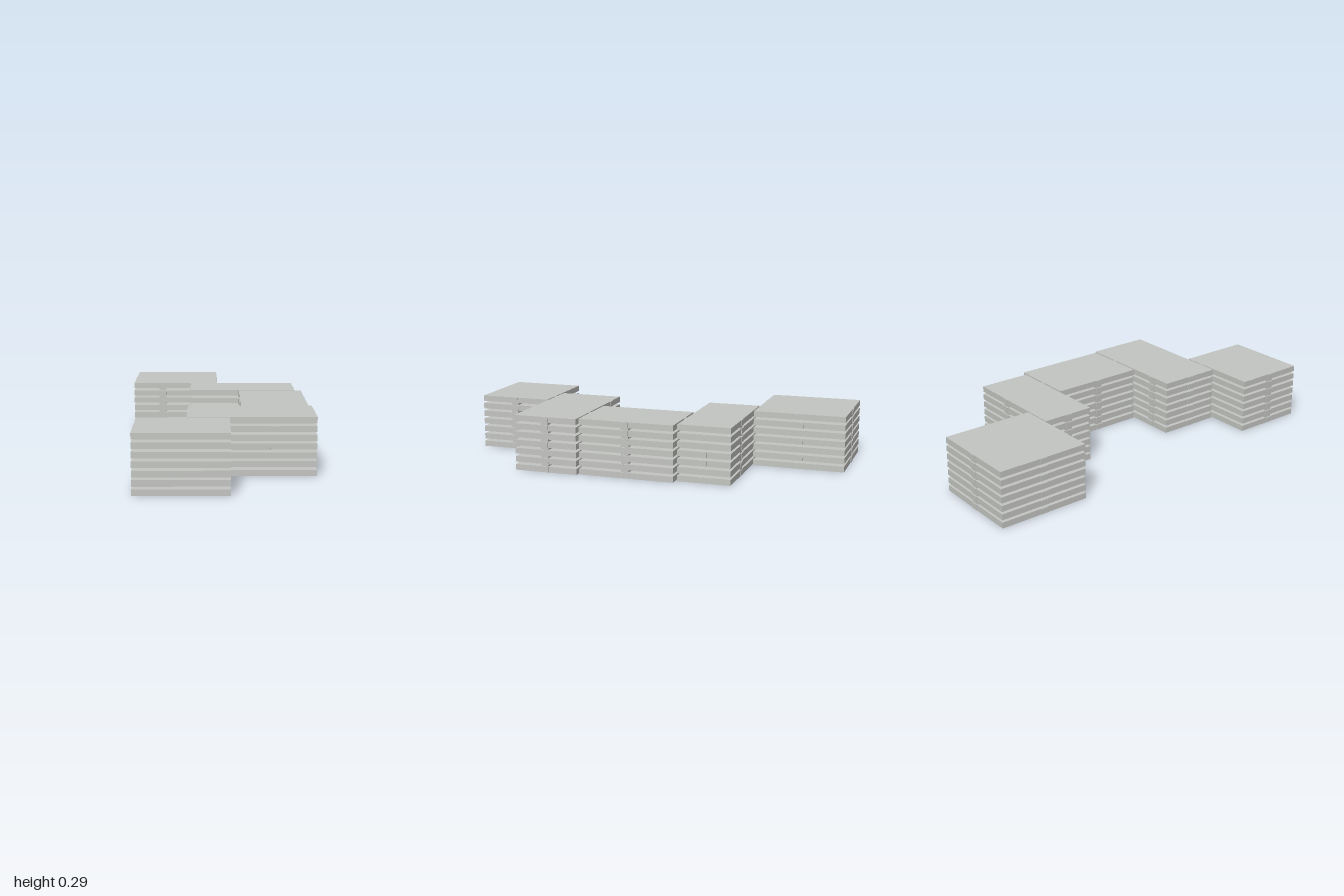
import * as THREE from 'three';

const LEVELS = 7, BASE = 0.005, SLAB = 0.03, PITCH = 0.0428;
const TOP = BASE + PITCH * (LEVELS - 1) + SLAB;

// Blocks in a staggered row, back to front. Tabs sit at the given point of each edge;
// the edges listed in posts also carry a pillar that holds the floors apart.
const BLOCKS = [
  { name: 'backBlock', x: [-0.478, -0.005], z: [-1, -0.526],
    tabs: { back: -0.24, front: -0.315, left: -0.765, right: -0.765 }, posts: ['back', 'front'] },
  { name: 'rearMiddleBlock', x: [-0.15, 0.425], z: [-0.52, -0.248],
    tabs: { back: 0.21, front: -0.02, left: -0.38, right: -0.38 }, posts: ['back', 'right'] },
  { name: 'middleBlock', x: [0.117, 0.459], z: [-0.238, 0.258],
    tabs: { left: 0.015, right: 0.015 }, posts: ['left', 'right'] },
  { name: 'frontMiddleBlock', x: [-0.15, 0.475], z: [0.267, 0.601],
    tabs: { back: -0.02, front: 0.27, left: 0.44, right: 0.44 }, posts: ['back', 'left'] },
  { name: 'frontBlock', x: [-0.388, 0.056], z: [0.609, 0.993],
    tabs: { front: -0.165, left: 0.805, right: 0.805 }, posts: ['left', 'right'] },
];

// Narrow links across the gaps between blocks
const LINKS = [[0.27, -0.243], [0.29, 0.2625], [-0.05, 0.605]];

export function createModel() {
  const model = new THREE.Group();
  const concrete = new THREE.MeshStandardMaterial({ color: 0xc4c6c2 });
  concrete.name = 'paleGrey';

  // Box given by its limits along each axis
  const box = (parent, name, x0, x1, y0, y1, z0, z1) => {
    const mesh = new THREE.Mesh(new THREE.BoxGeometry(x1 - x0, y1 - y0, z1 - z0), concrete);
    mesh.position.set((x0 + x1) / 2, (y0 + y1) / 2, (z0 + z1) / 2);
    mesh.name = name;
    parent.add(mesh);
  };

  // Footprint of a piece at an edge, reaching inward by depth and outward by out
  const edgePiece = (b, side, depth, out) => {
    const c = b.tabs[side], w = 0.02;
    if (side === 'back') return [c - w, c + w, b.z[0] - out, b.z[0] + depth];
    if (side === 'front') return [c - w, c + w, b.z[1] - depth, b.z[1] + out];
    if (side === 'right') return [b.x[0] - out, b.x[0] + depth, c - w, c + w];
    return [b.x[1] - depth, b.x[1] + out, c - w, c + w];
  };

  for (const b of BLOCKS) {
    const group = new THREE.Group();
    group.name = b.name;
    for (let i = 0; i < LEVELS; i++) {
      const y = BASE + i * PITCH;
      box(group, 'floorSlab', b.x[0], b.x[1], y, y + SLAB, b.z[0], b.z[1]);
      for (const side of Object.keys(b.tabs)) {
        const [x0, x1, z0, z1] = edgePiece(b, side, 0.02, 0.003);
        box(group, 'edgeTab', x0, x1, y + 0.001, y + SLAB - 0.001, z0, z1);
      }
      // Pillar pieces between this floor and the next
      if (i === LEVELS - 1) continue;
      for (const side of b.posts) {
        const [x0, x1, z0, z1] = edgePiece(b, side, 0.058, -0.004);
        box(group, 'pillar', x0, x1, y + SLAB, y + PITCH, z0, z1);
      }
    }
    model.add(group);
  }

  for (const [x, z] of LINKS) {
    box(model, 'link', x - 0.012, x + 0.012, BASE + 0.001, TOP - 0.001, z - 0.006, z + 0.006);
  }
  return model;
}
